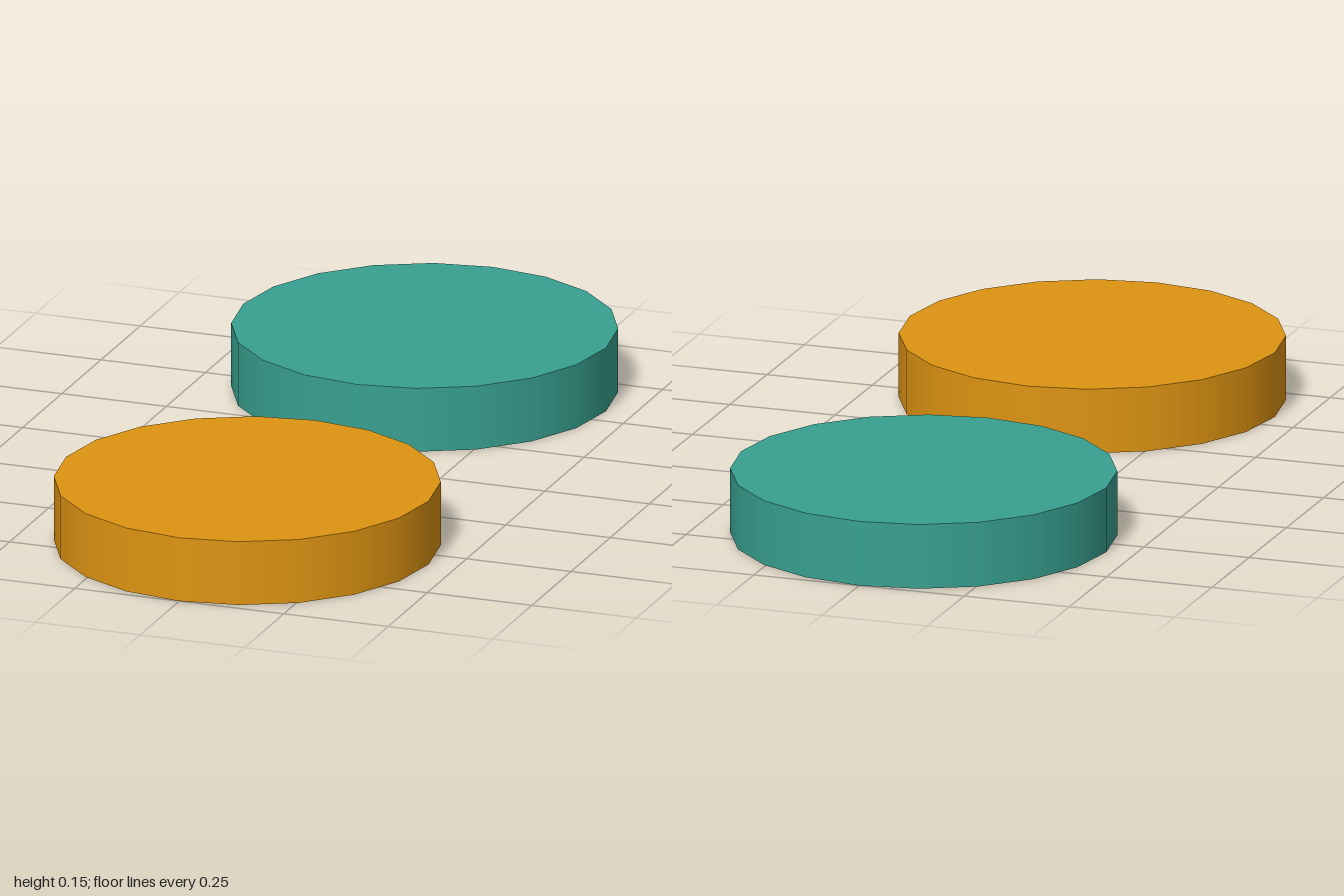
import * as THREE from 'three';

const RADIUS = 0.434;
const HEIGHT = 0.15;
const SIDES = 20;

export function createModel() {
  const model = new THREE.Group();
  model.name = 'discPair';

  // One disc shape shared by both pucks: smooth rim, flat caps
  const discGeometry = new THREE.CylinderGeometry(RADIUS, RADIUS, HEIGHT, SIDES);

  const addDisc = (name, color, z) => {
    const disc = new THREE.Mesh(discGeometry, new THREE.MeshStandardMaterial({ color }));
    disc.name = name;
    disc.position.set(0, HEIGHT / 2, z);
    model.add(disc);
  };

  // Each disc touches its end of the two-unit length
  addDisc('frontDisc', 0xde9412, 1 - RADIUS);
  addDisc('backDisc', 0x38a090, RADIUS - 1);

  return model;
}
